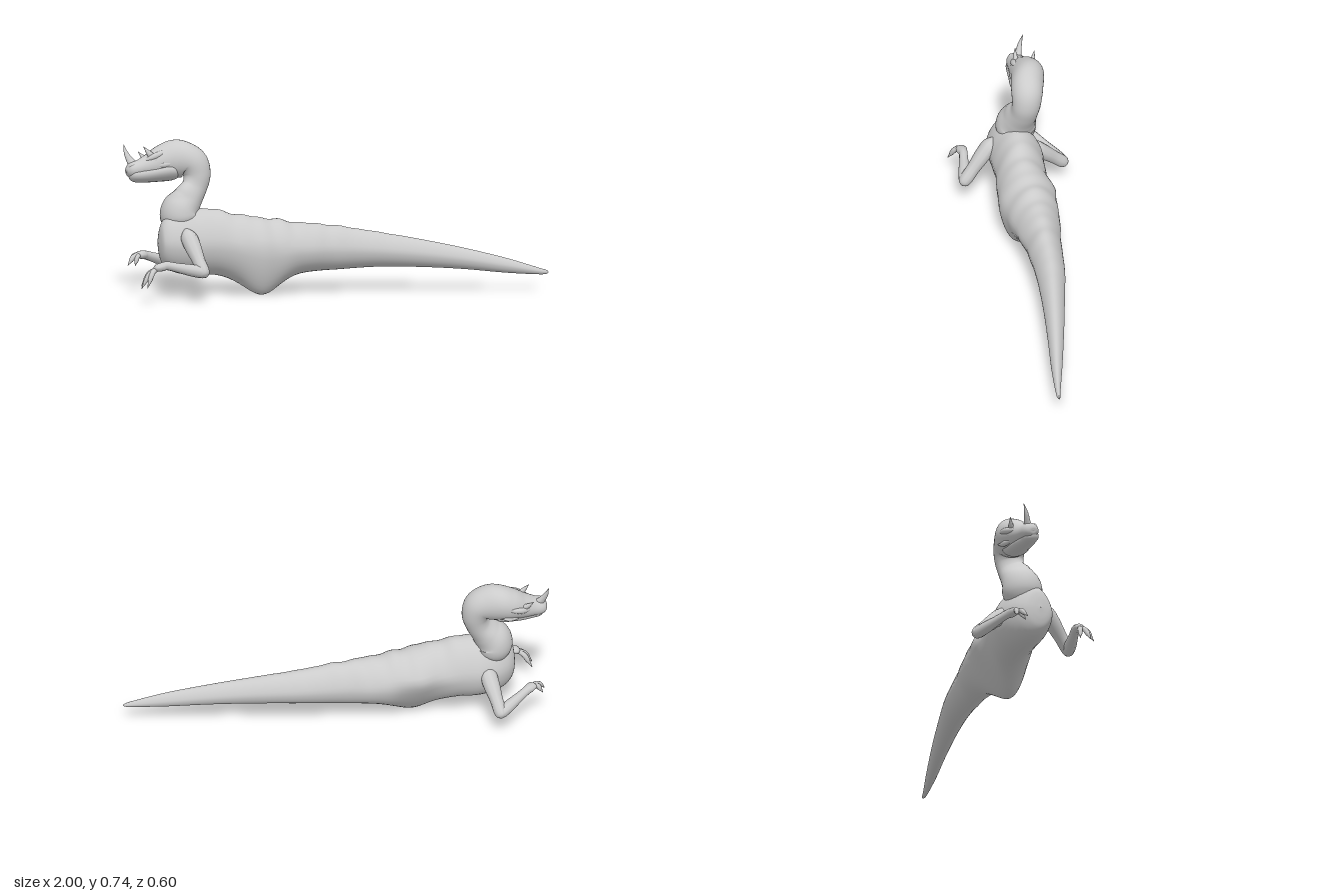
import * as THREE from 'three';

const skin = new THREE.MeshStandardMaterial({ color: 0xcccccc, side: THREE.DoubleSide });

// Smooth skin over stations [x, y, z, halfHeight, halfWidth].
// axis keeps all rings parallel; deform may move each vertex.
function loft(name, stations, { rings = 40, sides = 20, side = [0, 0, 1], axis, peak = 0, deform } = {}) {
  const path = new THREE.CatmullRomCurve3(stations.map(s => new THREE.Vector3(s[0], s[1], s[2])), false, 'catmullrom', 0.5);
  const size = new THREE.CatmullRomCurve3(stations.map(s => new THREE.Vector3(s[3], s[4], 0)), false, 'catmullrom', 0.5);
  const ref = new THREE.Vector3(...side);
  const pos = [], idx = [];
  for (let i = 0; i <= rings; i++) {
    const c = path.getPoint(i / rings), r = size.getPoint(i / rings);
    const t = axis ? new THREE.Vector3(...axis) : path.getTangent(i / rings);
    const s = ref.clone().addScaledVector(t, -ref.dot(t)).normalize();
    const u = s.clone().cross(t);
    for (let j = 0; j < sides; j++) {
      const a = j / sides * Math.PI * 2, up = Math.cos(a);
      const narrow = 1 - peak * Math.max(0, up);
      const p = c.clone()
        .addScaledVector(u, up * Math.max(r.x, 0.001))
        .addScaledVector(s, Math.sin(a) * narrow * Math.max(r.y, 0.001));
      if (deform) deform(p, up);
      pos.push(p.x, p.y, p.z);
    }
  }
  for (let i = 0; i < rings; i++) {
    for (let j = 0; j < sides; j++) {
      const a = i * sides + j, b = i * sides + (j + 1) % sides;
      idx.push(a, b, b + sides, a, b + sides, a + sides);
    }
  }
  const geo = new THREE.BufferGeometry();
  geo.setAttribute('position', new THREE.Float32BufferAttribute(pos, 3));
  geo.setIndex(idx);
  geo.computeVertexNormals();
  const mesh = new THREE.Mesh(geo, skin);
  mesh.name = name;
  return mesh;
}

// Torso and tail: [x, top, bottom, zMin, zMax]
function makeBody() {
  const outline = [
    [-0.857, 0.262, 0.26, -0.001, 0.001], [-0.85, 0.325, 0.2, -0.045, 0.05],
    [-0.835, 0.365, 0.16, -0.08, 0.072], [-0.8, 0.398, 0.128, -0.112, 0.088],
    [-0.74, 0.415, 0.106, -0.138, 0.1],
    [-0.66, 0.42, 0.1, -0.148, 0.105], [-0.57, 0.412, 0.1, -0.132, 0.114],
    [-0.47, 0.388, 0.092, -0.12, 0.14], [-0.37, 0.372, 0.082, -0.128, 0.155],
    [-0.27, 0.356, 0.088, -0.11, 0.15], [-0.15, 0.338, 0.1, -0.078, 0.14],
    [0, 0.322, 0.108, -0.036, 0.135], [0.2, 0.288, 0.118, 0.01, 0.153],
    [0.4, 0.252, 0.116, 0.075, 0.186], [0.6, 0.21, 0.106, 0.143, 0.227],
    [0.8, 0.16, 0.088, 0.215, 0.271], [0.95, 0.113, 0.08, 0.272, 0.297],
    [0.99, 0.1, 0.082, 0.286, 0.299], [1, 0.092, 0.09, 0.293, 0.295],
  ];
  const stations = outline.map(([x, t, b, z0, z1]) => [x, (t + b) / 2, (z0 + z1) / 2, (t - b) / 2, (z1 - z0) / 2]);
  return loft('bodyAndTail', stations, {
    rings: 198, sides: 36, axis: [1, 0, 0], peak: 0.2,
    deform(p, up) {
      // uneven folds across the back and flanks
      const fold = Math.exp(-(((p.x + 0.3) / 0.4) ** 2));
      p.y += 0.003 * fold * Math.max(0, up) * (Math.sin(p.x * 66) + Math.sin(p.x * 41));
      p.z += 0.0016 * fold * THREE.MathUtils.clamp(p.z * 20, -1, 1) * (Math.sin(p.x * 46) + Math.sin(p.x * 29));
      // sagging belly, narrowing downwards and leaning to the left
      const w = Math.exp(-(((p.x + 0.365) / 0.122) ** 2)) * THREE.MathUtils.clamp((0.25 - p.y) / 0.17, 0, 1);
      p.y -= 0.079 * w;
      p.z += 0.05 * w + (0.035 - p.z) * 0.45 * w;
    },
  });
}

// The skull is rolled about its length so that its crown leans to the right
function roll(p) {
  const w = THREE.MathUtils.smoothstep(-p.x, 0.66, 0.8) * THREE.MathUtils.smoothstep(p.y, 0.47, 0.56);
  const dy = p.y - 0.62, dz = p.z + 0.105, a = 0.38 * w;
  p.y = 0.62 + dy * Math.cos(a) + dz * Math.sin(a);
  p.z = -0.105 + dz * Math.cos(a) - dy * Math.sin(a);
}

function makeHead() {
  const head = new THREE.Group();
  head.name = 'head';
  const add = (name, stations, rings = 16, sides = 12) =>
    head.add(loft(name, stations, { rings, sides, deform: roll }));
  add('neckAndSkull', [
    [-0.735, 0.3, -0.03, 0.05, 0.06], [-0.742, 0.36, -0.04, 0.088, 0.094],
    [-0.738, 0.41, -0.045, 0.092, 0.096], [-0.703, 0.46, -0.052, 0.074, 0.08],
    [-0.665, 0.515, -0.06, 0.062, 0.067], [-0.65, 0.575, -0.067, 0.067, 0.069],
    [-0.672, 0.63, -0.077, 0.08, 0.076], [-0.735, 0.65, -0.093, 0.092, 0.082],
    [-0.8, 0.641, -0.105, 0.083, 0.077], [-0.86, 0.624, -0.11, 0.064, 0.065],
    [-0.92, 0.61, -0.113, 0.046, 0.052], [-0.965, 0.602, -0.115, 0.038, 0.042],
    [-0.985, 0.598, -0.115, 0.02, 0.024], [-0.989, 0.597, -0.115, 0.001, 0.001],
  ], 110, 28);
  add('lowerJaw', [
    [-0.72, 0.595, -0.09, 0.01, 0.02], [-0.76, 0.59, -0.098, 0.04, 0.064],
    [-0.84, 0.583, -0.109, 0.038, 0.059], [-0.92, 0.578, -0.113, 0.033, 0.046],
    [-0.96, 0.58, -0.115, 0.027, 0.036], [-0.98, 0.584, -0.115, 0.002, 0.004],
  ], 40, 20);
  add('noseHorn', [
    [-0.94, 0.615, -0.114, 0.036, 0.02], [-0.962, 0.65, -0.115, 0.02, 0.014],
    [-0.98, 0.69, -0.115, 0.011, 0.009], [-0.988, 0.735, -0.115, 0.001, 0.001],
  ]);
  // horn, brow, eye, cheek spur and nostril on each side
  for (const k of [-1, 1]) {
    const z = d => -0.109 + k * d;
    add('browHorn', [
      [-0.86, 0.65, z(0.04), 0.022, 0.016], [-0.88, 0.672, z(0.047), 0.014, 0.011],
      [-0.895, 0.69, z(0.05), 0.007, 0.006], [-0.907, 0.706, z(0.052), 0.001, 0.001],
    ]);
    add('browRidge', [
      [-0.77, 0.676, z(0.055), 0.002, 0.002], [-0.82, 0.667, z(0.061), 0.014, 0.014],
      [-0.865, 0.652, z(0.055), 0.015, 0.014], [-0.915, 0.634, z(0.037), 0.002, 0.002],
    ]);
    add('eye', [
      [-0.842, 0.638, z(0.056), 0.001, 0.001], [-0.847, 0.638, z(0.058), 0.009, 0.009],
      [-0.857, 0.637, z(0.057), 0.009, 0.009], [-0.862, 0.636, z(0.055), 0.001, 0.001],
    ]);
    add('cheekSpur', [
      [-0.86, 0.606, z(0.052), 0.002, 0.002], [-0.82, 0.61, z(0.064), 0.013, 0.01],
      [-0.785, 0.614, z(0.069), 0.011, 0.01], [-0.75, 0.62, z(0.073), 0.001, 0.001],
    ]);
    add('nostril', [
      [-0.985, 0.612, z(0.012), 0.001, 0.001], [-0.972, 0.62, z(0.02), 0.009, 0.009],
      [-0.955, 0.625, z(0.025), 0.009, 0.009], [-0.935, 0.627, z(0.027), 0.001, 0.001],
    ]);
  }
  return head;
}

// Arm from shoulder to wrist, then a palm with three clawed fingers
function makeArm(name, joints, tips) {
  const arm = new THREE.Group();
  arm.name = name;
  const [shoulder, elbow, wrist, palm] = joints.map(j => new THREE.Vector3(...j));
  const at = (a, b, t, r, w = r) => [...a.clone().lerp(b, t).toArray(), r, w];
  arm.add(loft('upperArm', [
    at(shoulder, elbow, -0.2, 0.005), at(shoulder, elbow, 0, 0.034, 0.038), at(shoulder, elbow, 0.3, 0.037, 0.04),
    at(shoulder, elbow, 0.65, 0.032), at(shoulder, elbow, 0.95, 0.031),
    at(shoulder, elbow, 1.08, 0.022), at(shoulder, elbow, 1.13, 0.001),
  ], { rings: 28, sides: 10, side: [1, 0, 0] }));
  arm.add(loft('forearm', [
    at(elbow, wrist, -0.08, 0.008), at(elbow, wrist, 0, 0.027), at(elbow, wrist, 0.3, 0.029),
    at(elbow, wrist, 0.7, 0.023), at(elbow, wrist, 1, 0.021),
    at(wrist, palm, 0.5, 0.021, 0.026), at(wrist, palm, 1, 0.016, 0.024), at(wrist, palm, 1.25, 0.001),
  ], { rings: 36, sides: 10 }));
  for (const tip of tips) {
    const end = new THREE.Vector3(...tip);
    const knuckle = palm.clone().lerp(end, 0.5);
    knuckle.y += 0.015;
    arm.add(loft('finger', [
      at(wrist, palm, 0.7, 0.01), at(palm, knuckle, 0.5, 0.012), at(knuckle, end, 0, 0.013),
      at(knuckle, end, 0.4, 0.011), at(knuckle, end, 0.55, 0.008), at(knuckle, end, 1, 0.001),
    ], { rings: 18, sides: 8 }));
  }
  return arm;
}

export function createModel() {
  const model = new THREE.Group();
  model.name = 'hornedReptile';
  model.add(makeBody(), makeHead());
  model.add(makeArm('leftArm',
    [[-0.735, 0.305, 0.09], [-0.697, 0.145, 0.228], [-0.865, 0.178, 0.182], [-0.92, 0.168, 0.178]],
    [[-0.998, 0.074, 0.2], [-0.975, 0.08, 0.225], [-0.985, 0.078, 0.148]]));
  model.add(makeArm('rightArm',
    [[-0.695, 0.265, -0.125], [-0.722, 0.126, -0.273], [-0.87, 0.178, -0.19], [-0.91, 0.185, -0.162]],
    [[-0.975, 0.14, -0.128], [-0.955, 0.145, -0.175], [-0.94, 0.137, -0.122]]));
  return model;
}
